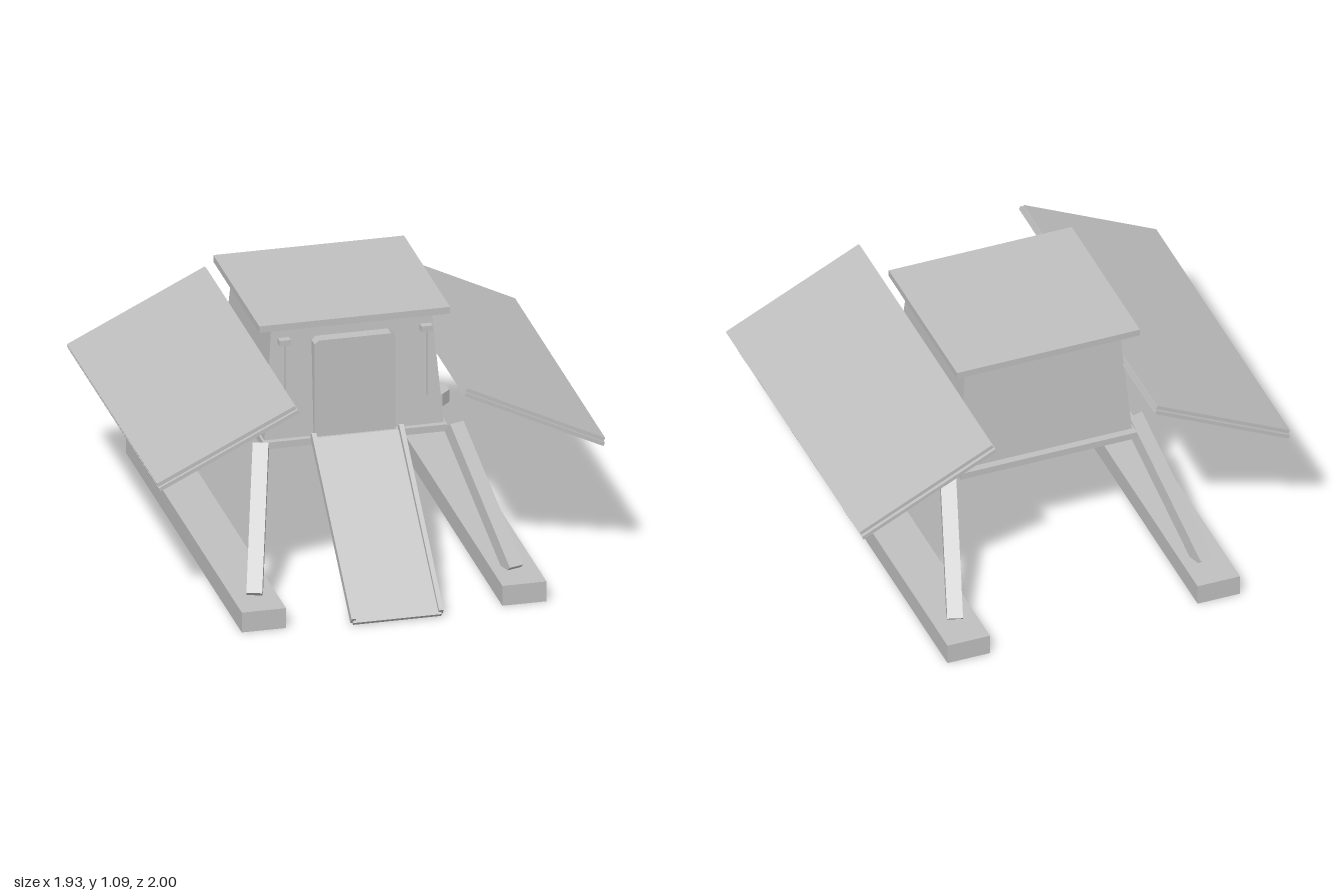
import * as THREE from 'three';

export function createModel() {
  const model = new THREE.Group();
  const grey = new THREE.MeshStandardMaterial({ color: 0xbfbfbf, flatShading: true, side: THREE.DoubleSide });
  grey.name = 'light grey';

  const add = (name, geo, x = 0, y = 0, z = 0, parent = model) => {
    const mesh = new THREE.Mesh(geo, grey);
    mesh.name = name;
    mesh.position.set(x, y, z);
    parent.add(mesh);
    return mesh;
  };
  // box given by its limits on each axis
  const block = (name, x0, x1, y0, y1, z0, z1, parent = model) =>
    add(name, new THREE.BoxGeometry(x1 - x0, y1 - y0, z1 - z0),
      (x0 + x1) / 2, (y0 + y1) / 2, (z0 + z1) / 2, parent);
  // square bar between two points, kept upright
  const beam = (name, a, b, w, h) => {
    const mesh = add(name, new THREE.BoxGeometry(w, h, a.distanceTo(b)));
    mesh.position.copy(a).lerp(b, 0.5);
    mesh.lookAt(b);
    return mesh;
  };
  const V = (x, y, z) => new THREE.Vector3(x, y, z);

  // cabin: box tapering towards the roof
  const cabin = new THREE.BoxGeometry(2, 0.5, 2);
  const p = cabin.attributes.position;
  for (let i = 0; i < p.count; i++) {
    const top = p.getY(i) > 0;
    p.setX(i, p.getX(i) * (top ? 0.345 : 0.385));
    p.setZ(i, p.getZ(i) * (top ? 0.323 : 0.365));
  }
  cabin.computeVertexNormals();
  add('cabin', cabin, 0, 0.81, -0.097);
  block('roof', -0.41, 0.41, 1.055, 1.085, -0.49, 0.28);
  block('basePlate', -0.395, 0.395, 0.53, 0.56, -0.495, 0.295);

  // door with clipped upper corners
  const door = new THREE.Shape();
  door.moveTo(-0.174, 0.56);
  door.lineTo(0.174, 0.56);
  door.lineTo(0.174, 0.98);
  door.lineTo(0.155, 0.995);
  door.lineTo(-0.155, 0.995);
  door.lineTo(-0.174, 0.98);
  add('door', new THREE.ExtrudeGeometry(door, { depth: 0.065, bevelEnabled: false }), 0, 0, 0.22);

  // ramp with raised side rails
  beam('ramp', V(0, 0.565, 0.315), V(0, 0.01, 0.992), 0.38, 0.016);
  for (const s of [-1, 1])
    beam('rampRail', V(s * 0.188, 0.585, 0.318), V(s * 0.188, 0.022, 0.988), 0.02, 0.034);

  for (const s of [-1, 1]) {
    // lamp posts beside the door
    add('lampPost', new THREE.CylinderGeometry(0.006, 0.006, 0.3, 6), s * 0.305, 0.85, 0.288);
    block('lampCap', s * 0.305 - 0.024, s * 0.305 + 0.024, 0.995, 1.02, 0.272, 0.305);

    // sloping two-layer wing
    const wing = new THREE.Group();
    wing.name = 'wing';
    wing.position.set(s * 0.66, 0.746, -0.033);
    wing.rotation.z = -s * 0.454;
    block('wingTop', -0.33, 0.33, 0, 0.016, -0.753, 0.753, wing);
    block('wingUnderlay', -0.333, 0.333, -0.016, 0, -0.768, 0.768, wing);
    model.add(wing);

    // skid: channel open underneath
    const skid = new THREE.BoxGeometry(0.19, 0.09, 1.94);
    const idx = Array.from(skid.index.array);
    idx.splice(18, 6); // remove the bottom face
    skid.setIndex(idx);
    skid.clearGroups();
    add('skid', skid, s * 0.56, 0.045, -0.03);

    // splayed legs
    beam('frontLeg', V(s * 0.415, 0.565, 0.325), V(s * 0.557, 0.085, 0.772), 0.066, 0.064);
    beam('backLeg', V(s * 0.415, 0.565, -0.39), V(s * 0.557, 0.085, -0.835), 0.066, 0.064);

    // side drums under the cabin edge
    const drum = add('sideDrum', new THREE.CylinderGeometry(0.075, 0.075, 0.056, 8), s * 0.41, 0.557, -0.03);
    drum.rotation.y = Math.PI / 8;
  }

  // pointed nozzle below the base
  const profile = [[0, 0.39], [0.032, 0.428], [0.06, 0.43], [0.06, 0.458], [0.04, 0.46],
    [0.026, 0.5], [0.03, 0.5], [0.03, 0.54]].map(([r, y]) => new THREE.Vector2(r, y));
  add('nozzle', new THREE.LatheGeometry(profile, 8), 0, 0, -0.1);

  return model;
}
